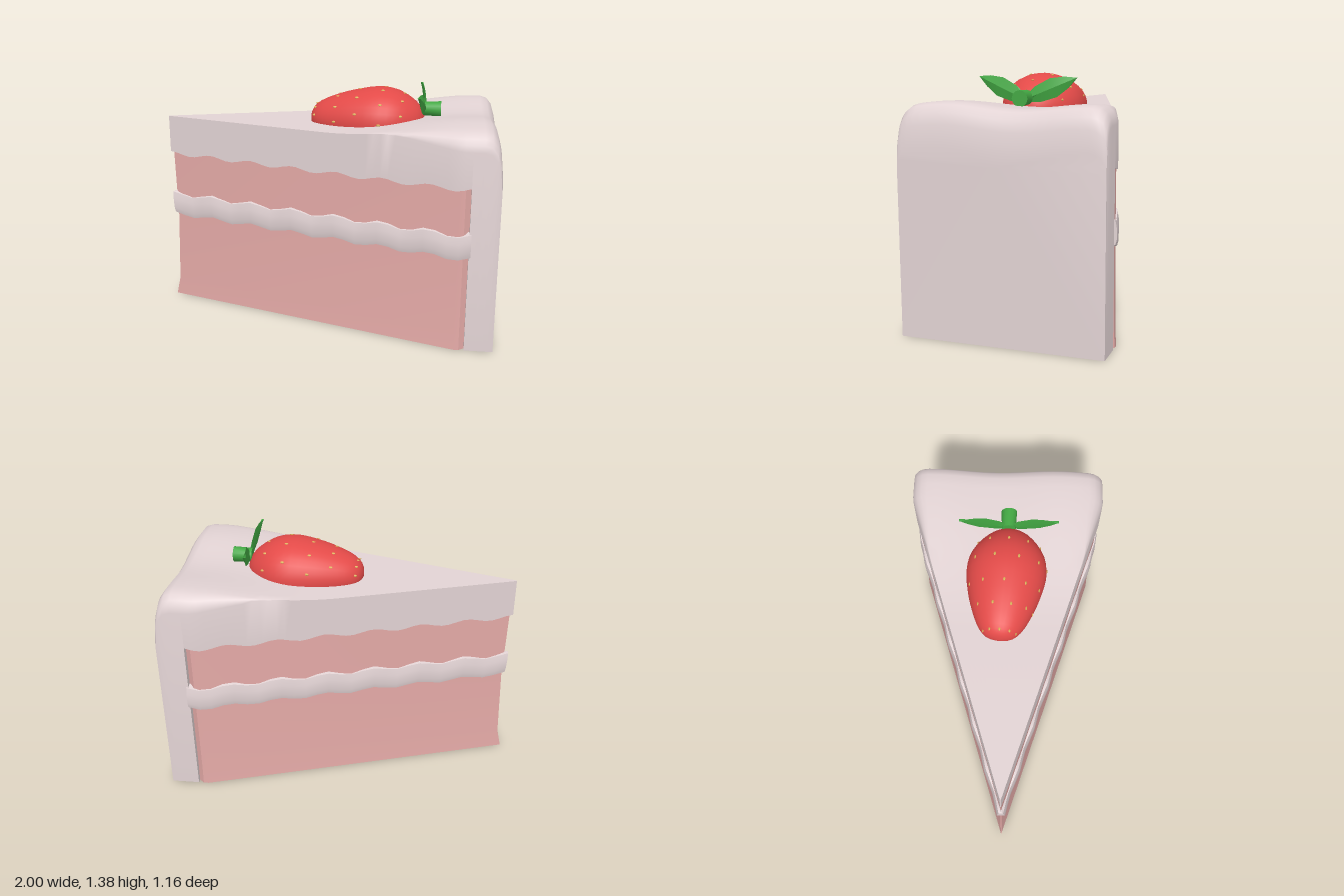
import * as THREE from 'three';
import { toCreasedNormals } from 'three/addons/utils/BufferGeometryUtils.js';

const mat = (name, color) => {
  const m = new THREE.MeshStandardMaterial({ color });
  m.name = name;
  return m;
};
const { smoothstep } = THREE.MathUtils;

// Joins closed rings of [x, y, z] points into a capped solid facing outward
function loft(rings, crease = 0.75) {
  const n = rings[0].length, pos = rings.flat(), tris = [];
  rings.slice(1).forEach((_, i) => {
    for (let j = 0; j < n; j++) {
      const a = i * n + j, b = i * n + (j + 1) % n;
      tris.push([a, b, b + n], [a, b + n, a + n]);
    }
  });
  [0, rings.length - 1].forEach((r, end) => {
    const c = pos.length;
    pos.push([0, 1, 2].map(k => rings[r].reduce((s, p) => s + p[k], 0) / n));
    for (let j = 0; j < n; j++) {
      const a = r * n + j, b = r * n + (j + 1) % n;
      tris.push(end ? [a, b, c] : [b, a, c]);
    }
  });
  const v = pos.map(p => new THREE.Vector3(...p));
  const volume = tris.reduce((s, [a, b, c]) => s + v[a].dot(v[b].clone().cross(v[c])), 0);
  if (volume < 0) tris.forEach(t => t.reverse());
  const g = new THREE.BufferGeometry();
  g.setAttribute('position', new THREE.Float32BufferAttribute(pos.flat(), 3));
  g.setIndex(tris.flat());
  return toCreasedNormals(g, crease);
}

// Plan of the slice: half width at x, and the ripple along its sides
const halfWidth = x => Math.min(0.565, 0.318 * (x + 1));
const wave = x => Math.cos((2 * Math.PI * (x + 0.72)) / 0.267);

// Horizontal wedge outline at one height
function wedge(y, tip, back, off, ripple = 0, n = 28) {
  const side = [];
  for (let i = 0; i <= n; i++) {
    const x = tip + ((back - tip) * i) / n;
    side.push([x, y + ripple * wave(x), Math.max(0.003, halfWidth(x) + off + ripple * 0.4 * wave(x))]);
  }
  return [...side, ...side.map(([x, yy, z]) => [x, yy, -z]).reverse()];
}

// Sponge outline with chamfered back corners
function spongeRing(y, tip, off) {
  const z = halfWidth(0.81) + off, t = Math.max(0.002, halfWidth(tip) + off);
  return [[tip, y, t], [0.78, y, z], [0.81, y, z], [0.845, y, z - 0.03],
    [0.845, y, 0.03 - z], [0.81, y, -z], [0.78, y, -z], [tip, y, -t]];
}

// Top of the frosting, swelling and rippling toward the back
const topY = (x, z) => 1.176 + 0.07 * smoothstep(x, 0, 0.88)
  + 0.015 * smoothstep(x, 0.1, 0.85) * Math.cos((2 * Math.PI * (z - 0.3)) / 0.75);

// Upright cross-section of the frosting at x
function frostingRing(x, bottom, drop = 0) {
  const w = halfWidth(x), r = 0.09 * smoothstep(x, 0.3, 0.85), pts = [];
  const edge = [];
  for (let i = 0; i <= 4; i++) {
    const a = (i / 4) * Math.PI / 2;
    edge.push([w - r + r * Math.cos(a), r * (1 - Math.sin(a))]);
  }
  const add = (z, down) => pts.push([x, topY(x, z) - drop - down, z]);
  pts.push([x, bottom, w]);
  edge.forEach(([z, d]) => add(z, d));
  for (let i = 1; i < 18; i++) add((w - r) * (1 - i / 9), 0);
  edge.reverse().forEach(([z, d]) => add(-z, d));
  pts.push([x, bottom, -w]);
  return pts;
}

export function createModel() {
  const frosting = mat('frosting cream', 0xe2d3d4);
  const sponge = mat('pink sponge', 0xe3a9a6);
  const berryRed = mat('berry red', 0xe34a48);
  const seedGold = mat('seed gold', 0xdcb05a);
  const leafGreen = mat('leaf green', 0x43a843);

  const model = new THREE.Group();
  model.name = 'cakeSlice';
  const add = (name, geo, m, parent = model) => {
    const mesh = new THREE.Mesh(geo, m);
    mesh.name = name;
    parent.add(mesh);
    return mesh;
  };

  // Sponge with a flared foot
  add('sponge', loft([
    spongeRing(0, -1, 0), spongeRing(0.11, -0.975, -0.005),
    spongeRing(0.54, -0.96, -0.01), spongeRing(0.96, -0.97, -0.01),
  ], 0.4), sponge);

  // Wavy cream filling
  add('creamFilling', loft([
    [0.545, -0.97, -0.02], [0.55, -0.975, 0.004], [0.58, -0.98, 0.012],
    [0.64, -0.985, 0.01], [0.68, -0.985, 0.002], [0.685, -0.975, -0.02],
  ].map(([y, tip, off]) => wedge(y, tip, 0.85, off, 0.015))), frosting);

  // Top frosting that runs down over the back as a full-height wall
  const rings = [];
  for (let i = 0; i <= 44; i++) {
    const x = -0.99 + (1.83 * i) / 44;
    rings.push(frostingRing(x, 0.942 + 0.012 * wave(x)));
  }
  [[0.84, 0], [0.9, 0], [0.94, 0.012], [0.97, 0.05], [0.988, 0.11], [1, 0.22]]
    .forEach(([x, drop]) => rings.push(frostingRing(x, 0, drop)));
  add('frosting', loft(rings), frosting);

  // Strawberry lying on its side, tip toward the point of the slice
  const berry = new THREE.Group();
  berry.name = 'strawberry';
  berry.position.set(0.28, 1.19, 0);
  berry.rotation.y = -0.08;
  model.add(berry);
  const profile = new THREE.SplineCurve([
    [0, -0.39], [0.07, -0.375], [0.125, -0.32], [0.172, -0.22], [0.207, -0.11],
    [0.23, 0.02], [0.21, 0.13], [0.15, 0.22], [0.08, 0.275], [0, 0.29],
  ].map(p => new THREE.Vector2(...p))).getPoints(24);
  profile.forEach(p => { p.x = Math.max(0, p.x); });
  const body = new THREE.LatheGeometry(profile, 32);
  body.rotateZ(-Math.PI / 2);
  body.scale(1, 0.85, 1);
  add('berryBody', body, berryRed, berry);

  // Staggered seeds set into the skin
  const seedGeo = new THREE.SphereGeometry(1, 8, 6);
  [4, 8, 11, 14, 17].forEach((k, row) => {
    const p = profile[k];
    for (let i = 0; i < 5; i++) {
      const a = -1.2 + i * 0.6 + (row % 2) * 0.3;
      const seed = add('seed', seedGeo, seedGold, berry);
      const ny = Math.cos(a), nz = Math.sin(a);
      seed.position.set(p.y, p.x * 0.85 * ny, p.x * nz);
      seed.scale.set(0.012, 0.004, 0.007);
      seed.rotation.x = Math.atan2(nz, 0.85 * ny);
    }
  });

  // Two folded leaves spreading either side of the stem
  const leaves = new THREE.Group();
  leaves.name = 'leaves';
  leaves.position.set(0.555, 1.255, 0.01);
  model.add(leaves);
  const leafSections = [[0, 0.015], [0.25, 0.042], [0.55, 0.05], [0.8, 0.03], [1, 0.001]];
  for (const side of [1, -1]) {
    const leaf = loft(leafSections.map(([t, h]) => {
      const z = side * 0.28 * t, y = 0.118 * t, x = 0.012 - 0.03 * t * t;
      return [[x + 0.009, y, z], [x - 0.003, y + h, z - side * h * 0.4],
        [x - 0.007, y, z], [x - 0.003, y - h, z + side * h * 0.4]];
    }), 0.3);
    add('leaf', leaf, leafGreen, leaves);
  }

  // Short stem
  const stem = add('stem', toCreasedNormals(new THREE.CylinderGeometry(0.045, 0.04, 0.11, 12), 0.7), leafGreen);
  stem.position.set(0.605, 1.265, 0.01);
  stem.rotation.z = -Math.PI / 2;

  return model;
}
